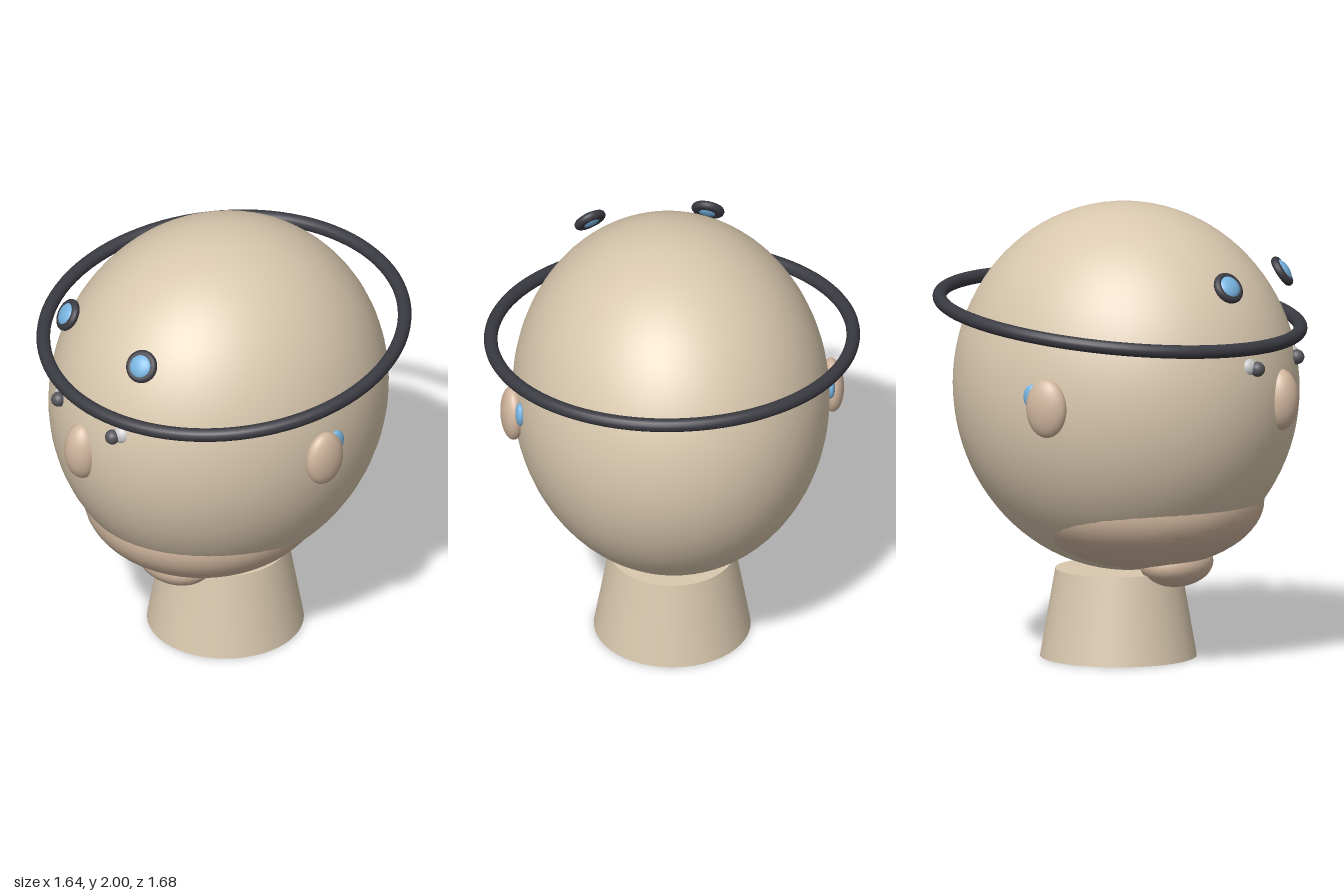
import * as THREE from 'three';

const mat = (color) => new THREE.MeshStandardMaterial({ color });

export function createModel() {
  const model = new THREE.Group();
  model.name = 'mannequinHead';
  const skin = mat(0xd9c8ae), blush = mat(0xd2b79f), dark = mat(0x3a3a42);
  const blue = mat(0x78b4e0), white = mat(0xcccccc), pupil = mat(0x55555a);

  const add = (parent, name, geometry, material, pos = [0, 0, 0]) => {
    const mesh = new THREE.Mesh(geometry, material);
    mesh.name = name;
    mesh.position.set(...pos);
    parent.add(mesh);
    return mesh;
  };
  // Smooth ball stretched to three radii
  const ellipsoid = (parent, name, material, pos, radii, seg = 32) =>
    add(parent, name, new THREE.SphereGeometry(1, seg, seg * 0.75).scale(...radii), material, pos);

  // Head, jaw, chin and neck
  ellipsoid(model, 'head', skin, [0, 1.193, 0.005], [0.69, 0.807, 0.772], 64);
  ellipsoid(model, 'jaw', blush, [0, 0.7, 0.08], [0.52, 0.3, 0.54], 48);
  ellipsoid(model, 'chin', blush, [0, 0.43, 0.25], [0.2, 0.105, 0.15]);
  add(model, 'neck', new THREE.CylinderGeometry(0.275, 0.342, 0.387, 48), skin, [0, 0.1935, -0.033]);
  ellipsoid(model, 'nose', blush, [0, 1.185, 0.758], [0.083, 0.135, 0.08]);

  // Tilted headband, higher at the back
  const band = add(model, 'headband', new THREE.TorusGeometry(0.79, 0.03, 16, 96), dark, [0, 1.515, -0.025]);
  band.rotation.x = Math.PI / 2 + 0.1;

  for (const s of [1, -1]) {
    const side = s > 0 ? 'left' : 'right';
    ellipsoid(model, side + 'Ear', blush, [s * 0.703, 1.188, -0.03], [0.053, 0.128, 0.095]);
    ellipsoid(model, side + 'Eye', white, [s * 0.205, 1.352, 0.695], [0.045, 0.045, 0.045], 20);
    ellipsoid(model, side + 'Pupil', pupil, [s * 0.19, 1.345, 0.742], [0.033, 0.033, 0.033], 20);

    // Small sensor tucked behind the ear
    ellipsoid(model, side + 'EarSensor', blue, [s * 0.683, 1.232, -0.11], [0.022, 0.054, 0.04], 20);

    // Lens hovering over the forehead, facing away from the head centre
    const lens = new THREE.Group();
    lens.name = side + 'ForeheadLens';
    lens.position.set(s * 0.26, 1.705, 0.635);
    lens.lookAt(s * 0.55, 2.23, 1.365);
    model.add(lens);
    add(lens, 'lensRim', new THREE.TorusGeometry(0.055, 0.018, 12, 32), dark);
    const back = add(lens, 'lensBack', new THREE.CylinderGeometry(0.06, 0.06, 0.02, 32), dark, [0, 0, -0.007]);
    back.rotation.x = Math.PI / 2;
    ellipsoid(lens, 'lensGlass', blue, [0, 0, 0.004], [0.055, 0.055, 0.028], 24);
  }
  return model;
}
